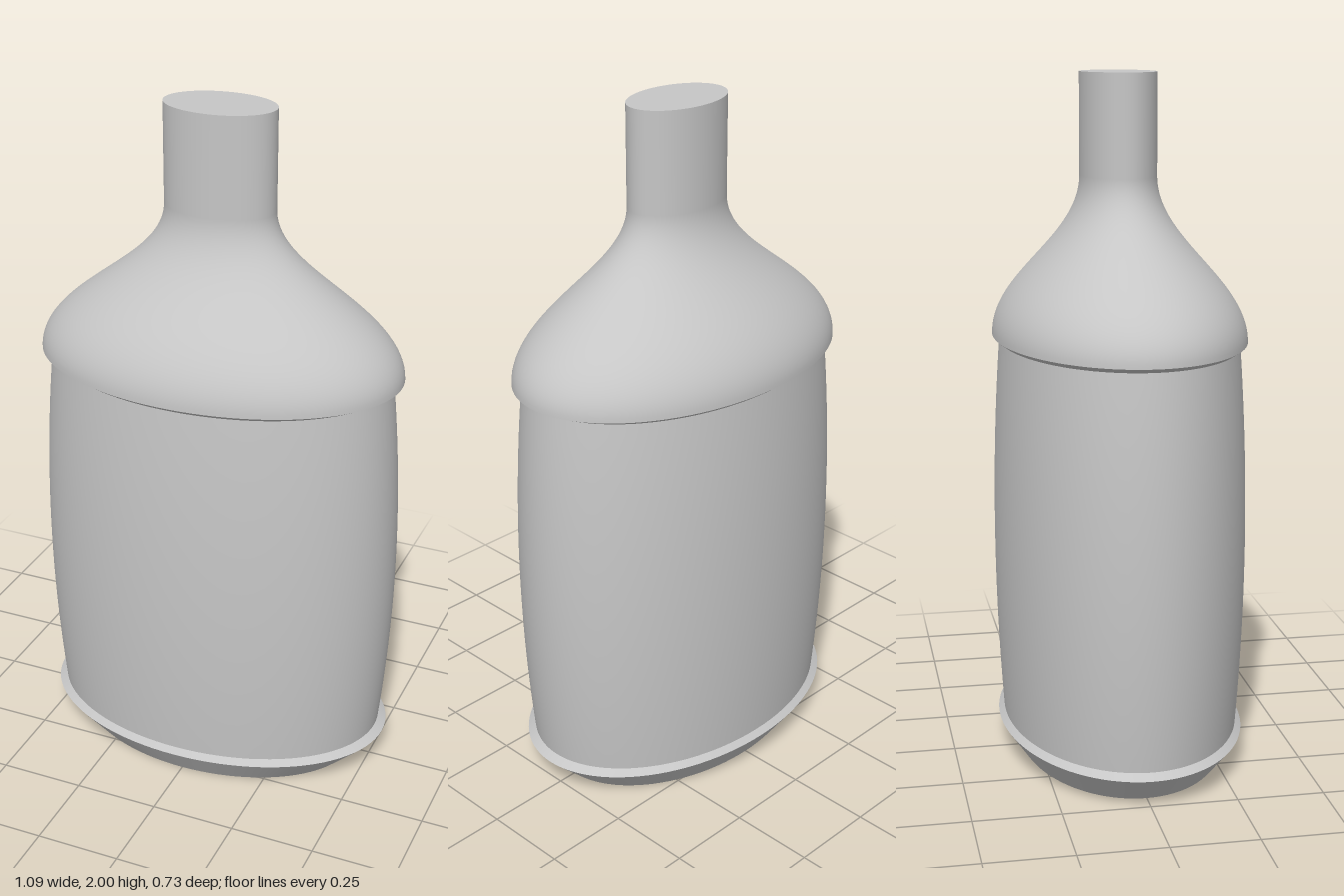
import * as THREE from 'three';

const DEPTH = 0.667; // elliptical plan: z half-width relative to x

export function createModel() {
  const bottle = new THREE.Group();
  bottle.name = 'bottle';
  const grey = new THREE.MeshStandardMaterial({ color: 0xc6c6c6 });
  grey.name = 'plain grey';
  const V = (x, y) => new THREE.Vector2(x, y);

  // Each band is its own lathe, so the edges between bands stay sharp
  function band(name, points) {
    const geometry = new THREE.LatheGeometry(points, 96);
    geometry.scale(1, 1, DEPTH);
    const mesh = new THREE.Mesh(geometry, grey);
    mesh.name = name;
    bottle.add(mesh);
  }

  // Base with a bevelled foot and a small ledge
  band('baseCap', [V(0, 0), V(0.443, 0)]);
  band('baseBevel', [V(0.443, 0), V(0.538, 0.092)]);
  band('baseLedge', [V(0.538, 0.092), V(0.513, 0.108)]);

  // Gently bulging body
  band('body', new THREE.QuadraticBezierCurve(
    V(0.513, 0.108), V(0.575, 0.68), V(0.513, 1.235)).getPoints(32));

  // Overhanging shoulder sweeping into the neck
  band('shoulderLip', [V(0.513, 1.235), V(0.543, 1.25)]);
  const shoulder = new THREE.CubicBezierCurve(
    V(0.543, 1.25), V(0.543, 1.42), V(0.163, 1.53), V(0.163, 1.71)).getPoints(40);
  band('shoulderAndNeck', [...shoulder, V(0.163, 2)]);
  band('neckCap', [V(0.163, 2), V(0, 2)]);

  return bottle;
}
